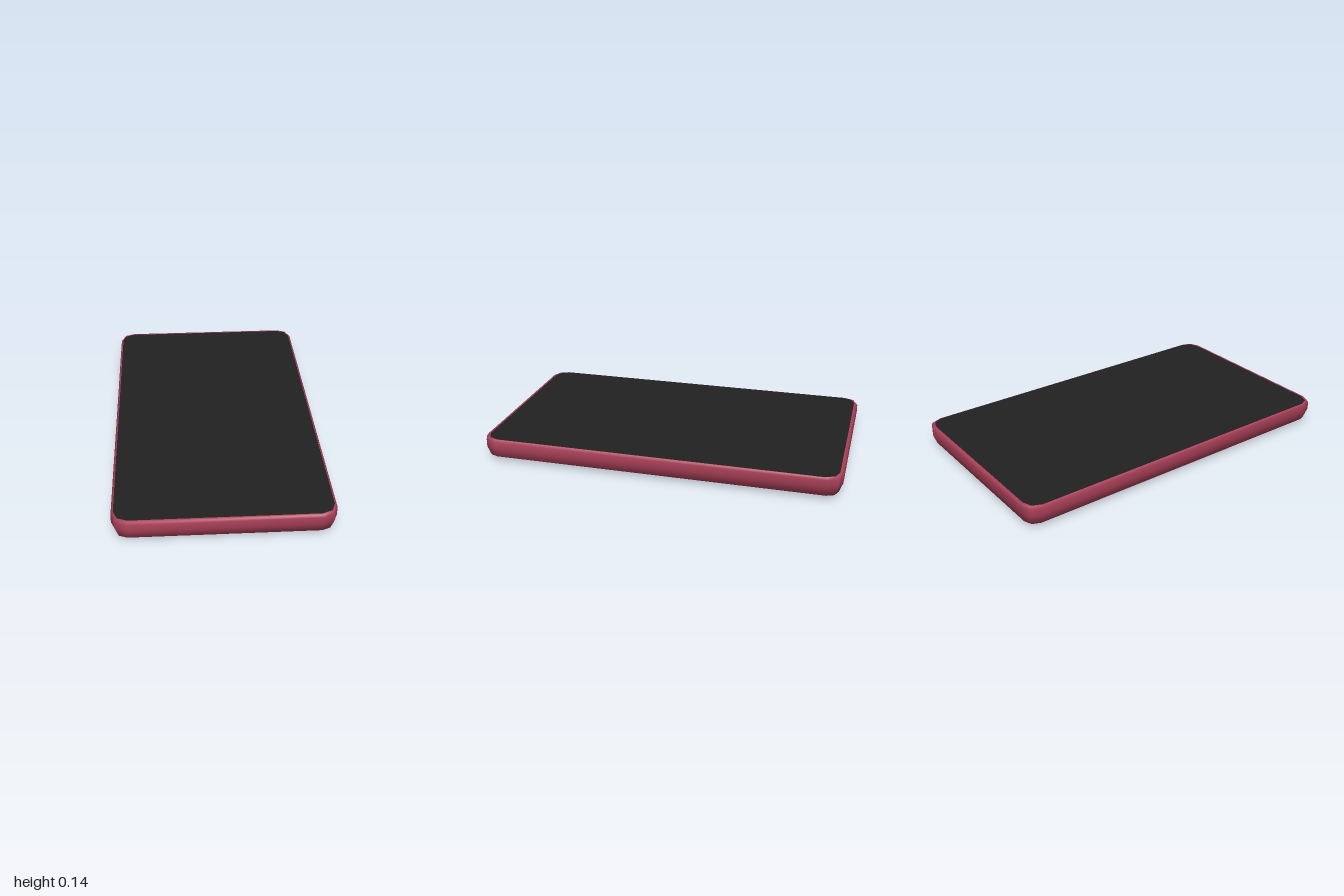
import * as THREE from 'three';

// Rounded rectangle ring at height y, two facets per corner
function ring(hx, hz, r, y) {
  const pts = [];
  [[1, 1], [-1, 1], [-1, -1], [1, -1]].forEach(([sx, sz], q) => {
    for (let k = 0; k <= 2; k++) {
      const a = (q + k / 2) * Math.PI / 2;
      pts.push([sx * (hx - r) + r * Math.cos(a), y, sz * (hz - r) + r * Math.sin(a)]);
    }
  });
  return pts;
}

// Skin joining rings from bottom to top, with optional end caps
function loft(rings, capBottom, capTop) {
  const n = rings[0].length;
  const pos = rings.flat(2);
  const index = [];
  const top = (rings.length - 1) * n;
  for (let s = 0; s < rings.length - 1; s++) {
    for (let i = 0; i < n; i++) {
      const a = s * n + i, b = s * n + (i + 1) % n;
      index.push(a, a + n, b, b, a + n, b + n);
    }
  }
  const cap = (start, up) => {
    const c = pos.length / 3;
    pos.push(0, rings[start / n][0][1], 0);
    for (let i = 0; i < n; i++) {
      const a = start + i, b = start + (i + 1) % n;
      index.push(c, up ? b : a, up ? a : b);
    }
  };
  if (capBottom) cap(0, false);
  if (capTop) cap(top, true);
  const geo = new THREE.BufferGeometry();
  geo.setAttribute('position', new THREE.Float32BufferAttribute(pos, 3));
  geo.setIndex(index);
  geo.computeVertexNormals();
  return geo;
}

export function createModel() {
  const red = new THREE.MeshStandardMaterial({ color: 0xaa4058 });
  red.name = 'crimson shell';
  const black = new THREE.MeshStandardMaterial({ color: 0x222222 });
  black.name = 'black glass';

  const group = new THREE.Group();
  group.name = 'phone';
  const add = (name, geo, mat) => {
    const mesh = new THREE.Mesh(geo, mat);
    mesh.name = name;
    group.add(mesh);
    return mesh;
  };

  // Shell: wide bevel underneath, small lip around the screen
  const shell = [
    ring(0.5, 0.92, 0.015, 0.002),
    ring(0.55, 0.98, 0.06, 0.025),
    ring(0.57, 1, 0.078, 0.08),
    ring(0.57, 1, 0.078, 0.123),
    ring(0.562, 0.992, 0.075, 0.134),
    ring(0.558, 0.98, 0.072, 0.135),
  ];
  add('shell', loft(shell, true, false), red);

  // Screen: flat glass filling the lip
  add('screen', loft([ring(0.558, 0.98, 0.072, 0.135)], false, true), black);

  // Camera window: flat pill on the underside near the back end
  const camera = add('cameraWindow', loft([ring(0.055, 0.2, 0.055, 0)], true, false), black);
  camera.position.z = -0.63;

  return group;
}
